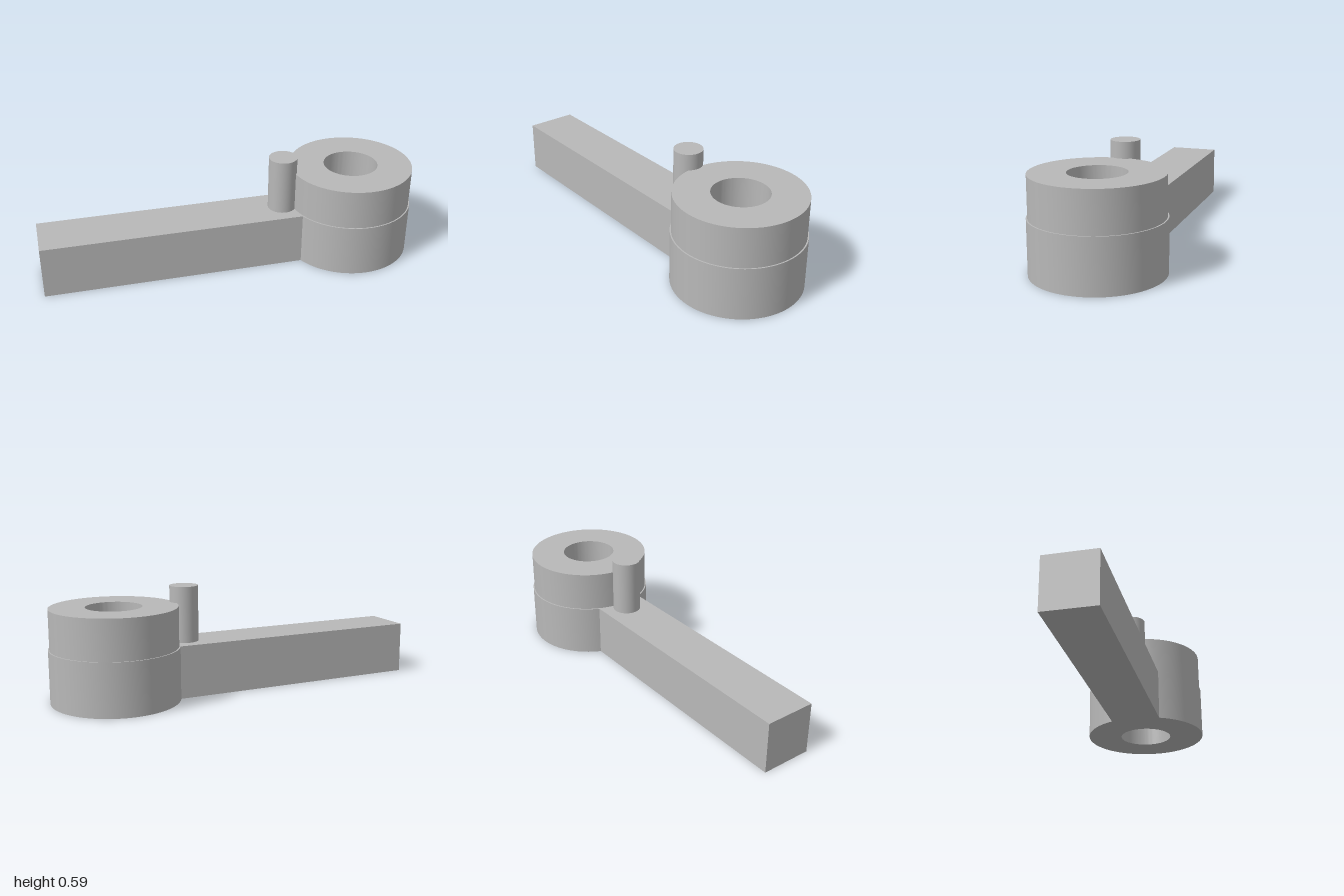
import * as THREE from 'three';
import { toCreasedNormals } from 'three/addons/utils/BufferGeometryUtils.js';

const BORE = 0.148;

// Extrudes a plan outline upwards, with the round bore cut through it
function extrudeUp(shape, bottom, top) {
  const hole = new THREE.Path();
  hole.absarc(0, 0, BORE, 0, Math.PI * 2, true);
  shape.holes.push(hole);
  const geometry = new THREE.ExtrudeGeometry(shape, {
    depth: top - bottom, bevelEnabled: false, curveSegments: 64,
  });
  geometry.rotateX(-Math.PI / 2);
  geometry.translate(0, bottom, 0);
  return toCreasedNormals(geometry, 0.5);
}

export function createModel() {
  const model = new THREE.Group();
  model.name = 'leverArm';
  const grey = new THREE.MeshStandardMaterial({ color: 0xb8b8b8 });
  grey.name = 'plain grey';

  const add = (name, geometry) => {
    const mesh = new THREE.Mesh(geometry, grey);
    mesh.name = name;
    model.add(mesh);
    return mesh;
  };

  // Straight arm running into the lower hub, one solid plate
  const radius = 0.343, half = 0.139, length = 1.728;
  const a = Math.asin(half / radius);
  const plate = new THREE.Shape();
  plate.moveTo(-length, half);
  plate.lineTo(-length, -half);
  plate.absarc(0, 0, radius, -Math.PI + a, Math.PI - a, false);
  plate.closePath();
  add('armAndLowerHub', extrudeUp(plate, 0, 0.285));

  // Slightly narrower collar on top of the hub
  const collar = new THREE.Shape();
  collar.absarc(0, 0, 0.336, 0, Math.PI * 2, false);
  add('upperCollar', extrudeUp(collar, 0.285, 0.5));

  // Upright pin beside the collar
  const pin = add('pin', new THREE.CylinderGeometry(0.077, 0.077, 0.302, 48));
  pin.position.set(-0.392, 0.436, 0);

  // Hub centre and the slant of the arm
  model.position.set(0.657, 0, -0.21);
  model.rotation.y = THREE.MathUtils.degToRad(21.5);

  const root = new THREE.Group();
  root.name = 'lever';
  root.add(model);
  return root;
}
